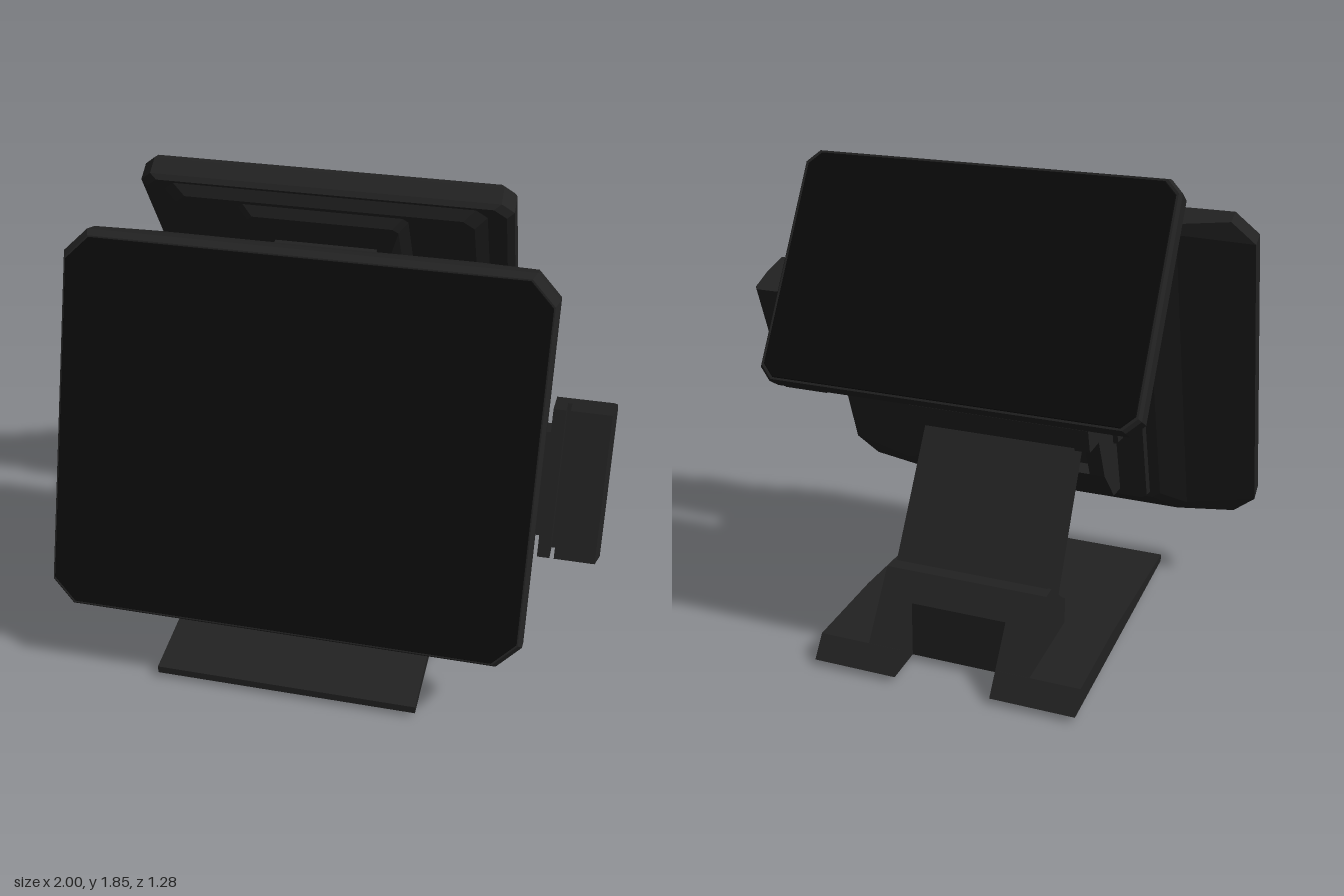
import * as THREE from 'three';

const CX = -0.115; // middle of the screens, stand and base

const bodyMat = new THREE.MeshStandardMaterial({ color: 0x222222, flatShading: true });
const glassMat = new THREE.MeshStandardMaterial({ color: 0x0a0a0a, flatShading: true });

function add(parent, name, geometry, material = bodyMat) {
  const mesh = new THREE.Mesh(geometry, material);
  mesh.name = name;
  parent.add(mesh);
  return mesh;
}

// Side profile of [z, y] points, extruded from x0 to x1
function slab(parent, name, points, x0, x1) {
  const shape = new THREE.Shape(points.map(([z, y]) => new THREE.Vector2(z, y)));
  const g = new THREE.ExtrudeGeometry(shape, { depth: x1 - x0, bevelEnabled: false });
  g.rotateY(-Math.PI / 2).translate(x1, 0, 0);
  return add(parent, name, g);
}

// Box given by its limits
function box(parent, name, x0, x1, y0, y1, z0, z1, material) {
  const g = new THREE.BoxGeometry(x1 - x0, y1 - y0, z1 - z0);
  g.translate((x0 + x1) / 2, (y0 + y1) / 2, (z0 + z1) / 2);
  return add(parent, name, g, material);
}

// Loft through rectangles with cut corners, front to back: [z, halfWidth, bottom, top, cut]
function loft(parent, name, sections, material) {
  const rings = sections.map(([z, w, b, t, c]) => [
    [w, b + c, z], [w, t - c, z], [w - c, t, z], [c - w, t, z],
    [-w, t - c, z], [-w, b + c, z], [c - w, b, z], [w - c, b, z],
  ]);
  const pos = [];
  const tri = (...p) => p.forEach((q) => pos.push(...q));
  for (let r = 0; r < rings.length - 1; r++) {
    const f = rings[r], k = rings[r + 1];
    for (let i = 0; i < 8; i++) {
      const j = (i + 1) % 8;
      tri(f[i], k[i], k[j]);
      tri(f[i], k[j], f[j]);
    }
  }
  const first = rings[0], last = rings[rings.length - 1];
  for (let i = 1; i < 7; i++) {
    tri(first[0], first[i], first[i + 1]);
    tri(last[0], last[i + 1], last[i]);
  }
  const g = new THREE.BufferGeometry();
  g.setAttribute('position', new THREE.Float32BufferAttribute(pos, 3));
  g.computeVertexNormals();
  return add(parent, name, g, material);
}

function buildBase(root) {
  const base = new THREE.Group();
  base.name = 'base';
  root.add(base);
  const [left, right, n0, n1] = [-0.62, 0.395, -0.3, 0.07]; // n0..n1 is the cable notch
  slab(base, 'basePlate', [[0.58, 0.025], [0.58, 0.055], [-0.17, 0.105], [-0.47, 0.105], [-0.47, 0.025]], left, right);
  const tail = [[-0.47, 0.025], [-0.47, 0.105], [-0.575, 0.105], [-0.635, 0.025]];
  slab(base, 'baseTail', tail, left, n0);
  slab(base, 'baseTail', tail, n1, right);

  // Block that carries the arm, notched at the rear
  const front = [[-0.17, 0.1], [-0.17, 0.21], [-0.21, 0.235], [-0.34, 0.34], [-0.4, 0.34]];
  const cheek = [...front, [-0.578, 0.1]];
  slab(base, 'blockCheek', cheek, -0.43, n0);
  slab(base, 'blockCheek', cheek, n1, 0.2);
  slab(base, 'blockMiddle', [...front, [-0.47, 0.245], [-0.47, 0.1]], n0, n1);

  for (const x of [CX - 0.45, CX + 0.45]) {
    for (const z of [0.505, -0.51]) {
      const foot = add(base, 'foot', new THREE.CylinderGeometry(0.037, 0.037, 0.03, 12));
      foot.position.set(x, 0.015, z);
    }
  }
}

function buildStand(root) {
  const stand = new THREE.Group();
  stand.name = 'stand';
  root.add(stand);
  slab(stand, 'arm', [[0.07, 0.78], [0.02, 0.86], [-0.06, 0.78], [-0.345, 0.34], [-0.3, 0.24], [-0.21, 0.235]], CX - 0.3, CX + 0.3);

  // Hinge housing: two cheeks, a hood and a floor round an open pocket
  const hood = [[0.14, 1.01], [0, 0.94], [-0.075, 0.91], [-0.09, 0.87], [-0.055, 0.77], [0.06, 0.765]];
  const floor = [[0.16, 0.58], [0.31, 0.43], [0.4, 0.42]];
  for (const s of [-1, 1]) {
    const a = CX + s * 0.3, b = CX + s * 0.36;
    slab(stand, 'housingCheek', [...hood, ...floor, [0.42, 0.46], [0.22, 1.02]], Math.min(a, b), Math.max(a, b));
  }
  slab(stand, 'housingHood', [...hood, [0.24, 0.8], [0.2, 1.0]], CX - 0.3, CX + 0.3);
  slab(stand, 'housingFloor', [...floor, [0.4, 0.48], [0.33, 0.48], [0.21, 0.6]], CX - 0.3, CX + 0.3);
}

function buildMainScreen(root) {
  const screen = new THREE.Group();
  screen.name = 'mainScreen';
  screen.position.set(CX, 1.025, 0.4025);
  screen.rotation.x = -0.36;
  root.add(screen);
  loft(screen, 'screenCase', [
    [0, 0.872, -0.685, 0.689, 0.085],
    [-0.03, 0.885, -0.7, 0.71, 0.085],
    [-0.1, 0.885, -0.705, 0.714, 0.085],
    [-0.15, 0.62, -0.69, 0.714, 0.04],
    [-0.19, 0.52, -0.61, 0.63, 0.03],
  ]);
  loft(screen, 'screenGlass', [
    [0.003, 0.865, -0.678, 0.682, 0.083],
    [-0.005, 0.87, -0.683, 0.687, 0.085],
  ], glassMat);
  // Raised panels on the back
  loft(screen, 'rearCover', [[-0.14, 0.5, -0.61, 0.05, 0.02], [-0.21, 0.47, -0.6, 0.02, 0.02]]);
  loft(screen, 'mountPanel', [[-0.17, 0.4, -0.3, 0.175, 0.01], [-0.247, 0.38, -0.28, 0.163, 0.01]]);
  for (const v of [0.07, 0.12]) {
    box(screen, 'ventRib', -0.25, 0.25, v - 0.01, v + 0.01, -0.253, -0.24);
  }

  // Card reader on the side, with a swipe slot open to the front
  const reader = new THREE.Group();
  reader.name = 'cardReader';
  reader.position.x = -CX;
  screen.add(reader);
  box(reader, 'readerBracket', 0.75, 0.8, -0.2, 0.17, -0.2, -0.05);
  box(reader, 'readerInnerWall', 0.787, 0.83, -0.262, 0.262, -0.225, 0);
  box(reader, 'readerSlotFloor', 0.82, 0.86, -0.262, 0.262, -0.225, -0.13);
  const outline = new THREE.Shape([[0.845, 0], [0.985, 0], [1, -0.1], [1, -0.21], [0.985, -0.225], [0.845, -0.225]]
    .map(([x, z]) => new THREE.Vector2(x, -z)));
  const outer = new THREE.ExtrudeGeometry(outline, { depth: 0.524, bevelEnabled: false });
  outer.rotateX(-Math.PI / 2).translate(0, -0.262, 0).scale(1, 1, 1);
  // Turn the section so its narrow end faces the front
  outer.translate(0, 0, 0);
  add(reader, 'readerOuterWall', outer);
}

function buildCustomerScreen(root) {
  // Curved bracket between the two screens
  slab(root, 'screenBracket', [
    [0.04, 1.56], [0, 1.555], [-0.08, 1.535], [-0.14, 1.57], [-0.2, 1.57],
    [-0.19, 1.51], [-0.13, 1.455], [-0.06, 1.44], [0, 1.455], [0.06, 1.47],
  ], -0.3, 0.08);

  const screen = new THREE.Group();
  screen.name = 'customerScreen';
  screen.position.set(CX, 1.49, -0.415);
  screen.rotation.set(-0.559, Math.PI, 0, 'YXZ');
  root.add(screen);
  loft(screen, 'customerCase', [
    [0, 0.675, -0.42, 0.42, 0.045],
    [-0.015, 0.685, -0.425, 0.425, 0.045],
    [-0.085, 0.685, -0.425, 0.425, 0.045],
    [-0.105, 0.66, -0.38, 0.415, 0.045],
  ]);
  loft(screen, 'customerGlass', [
    [0.003, 0.665, -0.41, 0.41, 0.043],
    [-0.005, 0.672, -0.417, 0.417, 0.045],
  ], glassMat);
  loft(screen, 'customerRearCover', [
    [-0.1, 0.6, -0.3, 0.41, 0.04],
    [-0.135, 0.55, -0.28, 0.37, 0.04],
  ]);
  loft(screen, 'customerMount', [
    [-0.13, 0.32, -0.27, 0.36, 0.02],
    [-0.163, 0.28, -0.26, 0.32, 0.02],
    [-0.18, 0.25, -0.255, 0.22, 0.02],
  ]);
}

export function createModel() {
  const root = new THREE.Group();
  root.name = 'salesTerminal';
  buildBase(root);
  buildStand(root);
  buildMainScreen(root);
  buildCustomerScreen(root);
  return root;
}
